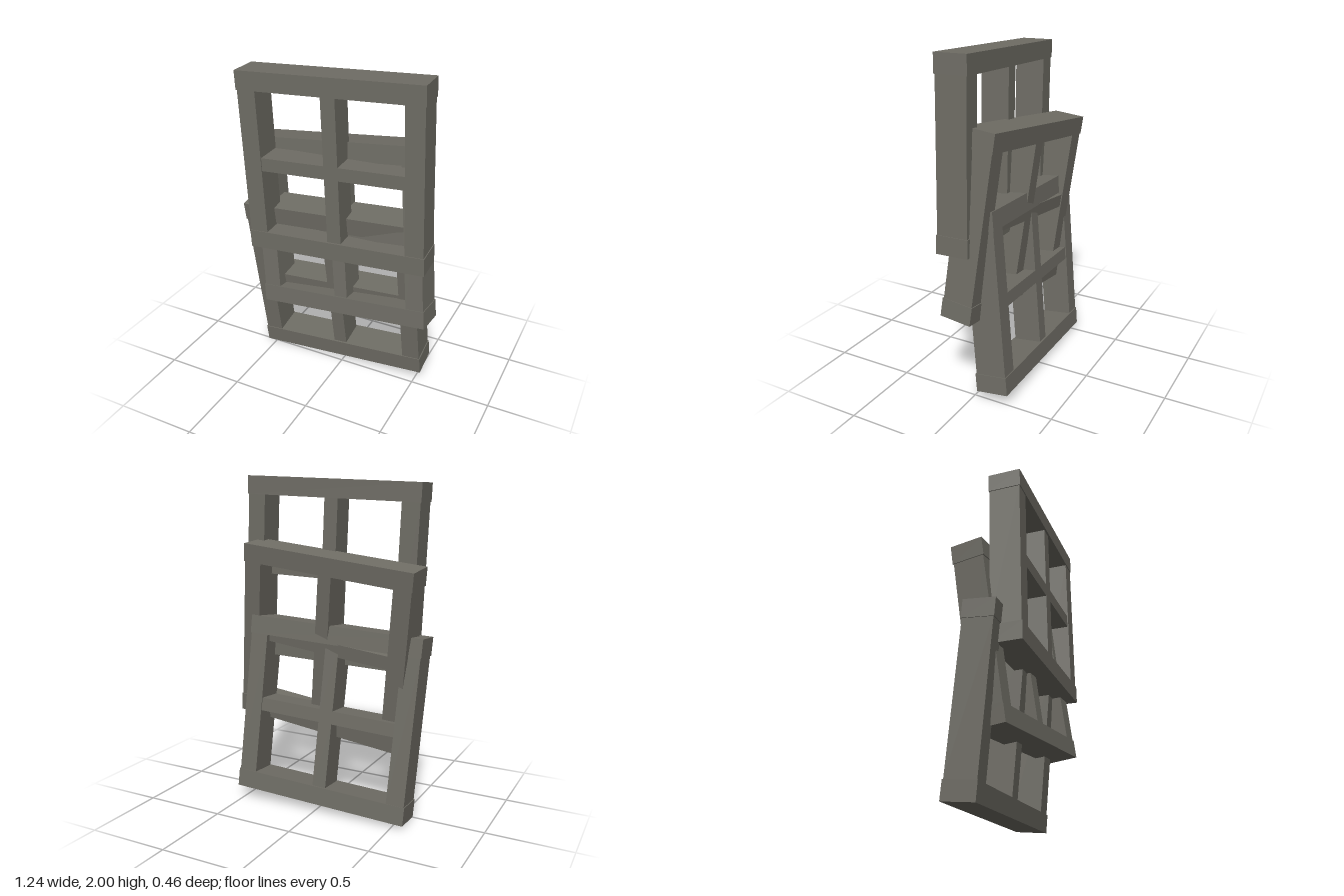
import * as THREE from 'three';

const W = 1.1, H = 1.09, D = 0.195; // outer frame size
const BAR = 0.11;                   // rail and stile width
const INSET = 0.005;                // stiles sit just inside the rails

const wood = new THREE.MeshStandardMaterial({ color: 0x6f6d65 });
wood.name = 'weathered grey wood';

function bar(name, w, h, d, x, y) {
  const mesh = new THREE.Mesh(new THREE.BoxGeometry(w, h, d), wood);
  mesh.name = name;
  mesh.position.set(x, y, 0);
  return mesh;
}

// One four-pane window frame, centred on its own origin
function windowFrame(name) {
  const g = new THREE.Group();
  g.name = name;
  const railY = (H - BAR) / 2, stileX = (W - BAR) / 2 - INSET;
  const innerW = W - 2 * BAR, innerH = H - 2 * BAR;
  g.add(bar('topRail', W, BAR, D, 0, railY));
  g.add(bar('bottomRail', W, BAR, D, 0, -railY));
  g.add(bar('leftStile', BAR, innerH, D - 2 * INSET, stileX, 0));
  g.add(bar('rightStile', BAR, innerH, D - 2 * INSET, -stileX, 0));
  // Cross bars: one through, one split in two around it
  const cross = 0.08, half = (innerH - cross) / 2, depth = 0.172;
  g.add(bar('horizontalGlazingBar', innerW, cross, depth, 0, 0));
  for (const s of [1, -1]) {
    g.add(bar(s > 0 ? 'upperGlazingBar' : 'lowerGlazingBar',
      0.085, half, depth, 0, s * (cross + half) / 2));
  }
  return g;
}

export function createModel() {
  const model = new THREE.Group();
  model.name = 'stackedWindowFrames';
  // name, position, tilt in degrees (pitch, yaw, roll)
  const frames = [
    ['topFrame', [0.02, 1.433, 0.105], [0, 3.1, 2.35]],
    ['middleFrame', [0.005, 1.01, -0.01], [-5.5, -1.65, 6.3]],
    ['bottomFrame', [-0.043, 0.582, -0.053], [6, 2.7, 2.9]],
  ];
  for (const [name, pos, tilt] of frames) {
    const f = windowFrame(name);
    f.position.set(...pos);
    f.rotation.set(...tilt.map(THREE.MathUtils.degToRad));
    model.add(f);
  }
  return model;
}
